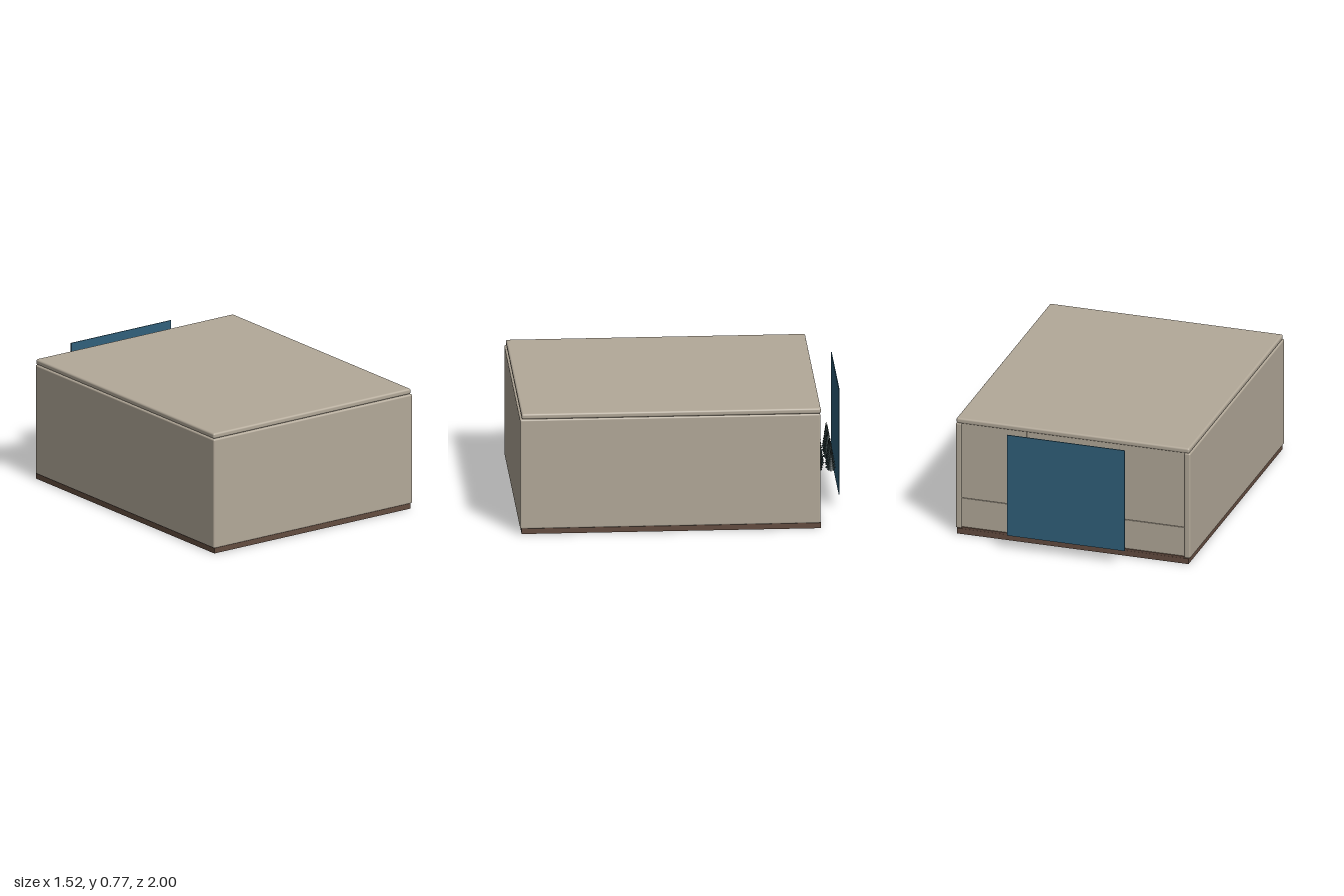
import * as THREE from 'three';
import { mergeGeometries } from 'three/addons/utils/BufferGeometryUtils.js';
import { RoundedBoxGeometry } from 'three/addons/geometries/RoundedBoxGeometry.js';

const material = (name, color) => Object.assign(new THREE.MeshStandardMaterial({ color }), { name });

export function createModel() {
  const room = new THREE.Group();
  room.name = 'room';
  const plaster = material('warm plaster', 0xb3a999);
  const wood = material('dark wood', 0x644d40);
  const night = material('evening blue', 0x30607b);
  const pine = material('dark pine', 0x1c2a2b);

  // Adds a box given by its lower and upper corners, with optional rounded edges
  function addBox(name, mat, [x0, y0, z0], [x1, y1, z1], radius = 0, parent = room) {
    const size = [x1 - x0, y1 - y0, z1 - z0];
    const geometry = radius ? new RoundedBoxGeometry(...size, 3, radius) : new THREE.BoxGeometry(...size);
    const mesh = new THREE.Mesh(geometry, mat);
    mesh.position.set((x0 + x1) / 2, (y0 + y1) / 2, (z0 + z1) / 2);
    mesh.name = name;
    parent.add(mesh);
  }

  // Floor, ceiling and solid walls
  addBox('floor', wood, [-0.75, 0, -0.86], [0.75, 0.035, 0.985]);
  addBox('backSkirting', wood, [-0.72, 0.035, -0.859], [0.72, 0.047, -0.84]);
  addBox('ceiling', plaster, [-0.755, 0.74, -0.86], [0.755, 0.775, 0.985], 0.012);
  addBox('frontWall', plaster, [-0.755, 0.035, 0.955], [0.755, 0.74, 0.995], 0.01);
  for (const [side, s] of [['left', 1], ['right', -1]]) {
    const [a, b] = [0.72 * s, 0.76 * s].sort((p, q) => p - q);
    addBox(side + 'Wall', plaster, [a, 0.035, -0.857], [b, 0.74, 0.995], 0.01);
  }

  // Back wall, built around the window opening
  const W = 0.3, low = 0.24, high = 0.62, z0 = -0.852, z1 = -0.815;
  addBox('backWallBelowWindow', plaster, [-0.725, 0.035, z0], [0.725, low - 0.001, z1], 0.003);
  addBox('backWallLeft', plaster, [W, low, z0], [0.725, 0.745, z1], 0.003);
  addBox('backWallRight', plaster, [-0.725, low, z0], [-W, 0.745, z1], 0.003);
  addBox('backWallAboveWindow', plaster, [-W, high, z0], [W, 0.745, z1]);

  // Window frame with a centre bar
  const frame = new THREE.Group();
  frame.name = 'windowFrame';
  room.add(frame);
  const f = 0.015;
  for (const x of [-W, -f / 2, W - f]) addBox('upright', wood, [x, low, -0.845], [x + f, high, -0.825], 0, frame);
  for (const y of [low, high - f]) addBox('rail', wood, [-W, y, -0.845], [W, y + f, -0.825], 0, frame);

  // Evening sky panel behind the window
  addBox('skyPanel', night, [-0.383, 0.095, -1], [0.38, 0.77, -0.994]);

  // Pine: stacked cones whose skirts alternate between long and short points
  function pineGeometry(height, radius) {
    const tiers = 9, parts = [];
    for (let i = 0; i < tiers; i++) {
      const r = radius * (1 - (i / tiers) * 0.88), h = height * 0.2;
      const cone = new THREE.ConeGeometry(r, h, 16, 1);
      const p = cone.attributes.position;
      for (let k = 0; k < p.count; k++) {
        const x = p.getX(k), z = p.getZ(k);
        const point = Math.round((Math.atan2(x, z) / Math.PI) * 8);
        if (p.getY(k) < 0 && point % 2) {
          p.setX(k, x * 0.7);
          p.setZ(k, z * 0.7);
        }
      }
      cone.translate(0, h / 2 + (i / (tiers - 1)) * (height - h), 0);
      cone.computeVertexNormals();
      parts.push(cone);
    }
    parts.push(new THREE.CylinderGeometry(radius * 0.15, radius * 0.15, 0.02, 6).translate(0, -0.006, 0));
    return mergeGeometries(parts);
  }

  // Two rows of pines, scaled tree by tree
  const rows = [
    { z: -0.883, height: 0.25, radius: 0.04, sizes: [0.4, 0.65, 0.85, 1, 0.85, 0.6, 0.4, 0.7, 0.95, 1, 0.75, 0.6, 0.4] },
    { z: -0.953, height: 0.18, radius: 0.036, sizes: [0.4, 0.75, 0.6, 1, 0.8, 0.55, 1, 0.6, 0.5, 0.9, 0.55, 1, 0.7] },
  ];
  rows.forEach(({ z, height, radius, sizes }, r) => {
    const row = new THREE.Group();
    row.name = r ? 'farPines' : 'nearPines';
    const geometry = pineGeometry(height, radius);
    sizes.forEach((s, i) => {
      const tree = new THREE.Mesh(geometry, pine);
      tree.name = 'pine';
      tree.scale.set(s, 0.35 + 0.65 * s, s);
      tree.position.set(-0.262 + i * 0.0437, 0.22, z);
      row.add(tree);
    });
    room.add(row);
  });

  return room;
}
